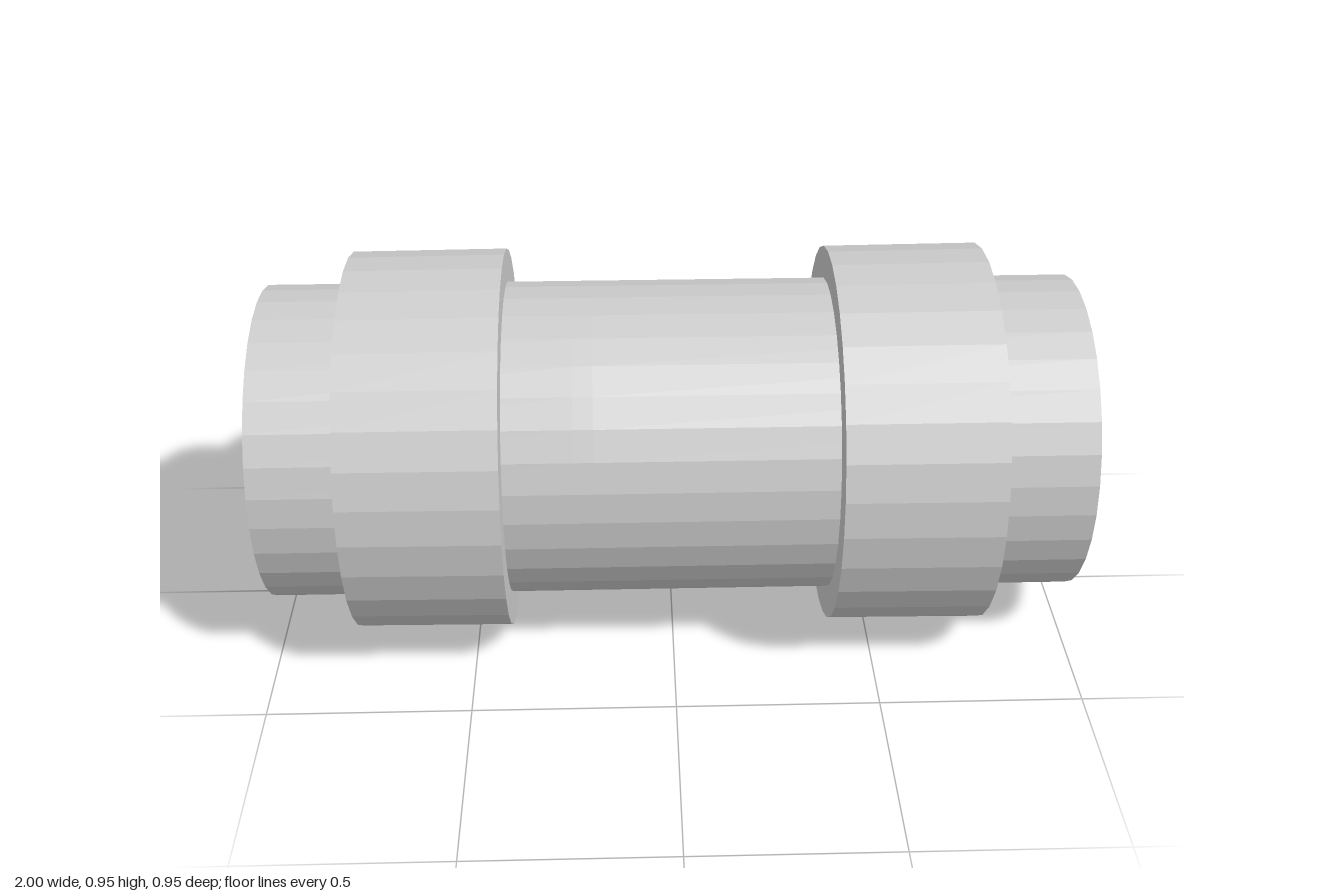
import * as THREE from 'three';

const SIDES = 32, STEP = (Math.PI * 2) / SIDES;
const INNER = 0.342, OUTER = 0.393, COLLAR = 0.476;
const SLOT = [-0.237, -0.19]; // x range of the small port
const SLOT_FACET = 6; // facet of the tube wall that the port pierces

const material = new THREE.MeshStandardMaterial({ color: 0xcccccc, flatShading: true });
const wallMaterial = new THREE.MeshStandardMaterial({
  color: 0xcccccc, flatShading: true, side: THREE.DoubleSide,
});

// Turn a profile of [radius, x] points around the x axis
function turned(name, profile, facets = SIDES, firstFacet = 0) {
  const points = profile.map(([r, x]) => new THREE.Vector2(r, x));
  const geometry = new THREE.LatheGeometry(points, facets, firstFacet * STEP, facets * STEP);
  geometry.rotateZ(-Math.PI / 2);
  const mesh = new THREE.Mesh(geometry, material);
  mesh.name = name;
  return mesh;
}

// Four walls lining the port between the outer and inner surface
function portWalls() {
  const positions = [], index = [];
  const corners = [[0, 0], [1, 0], [1, 1], [0, 1]];
  for (const r of [OUTER, INNER]) {
    for (const [i, j] of corners) {
      const phi = (SLOT_FACET + j) * STEP;
      positions.push(SLOT[i], -r * Math.sin(phi), r * Math.cos(phi));
    }
  }
  for (let i = 0; i < 4; i++) {
    const n = (i + 1) % 4;
    index.push(i, n, i + 4, n, n + 4, i + 4);
  }
  const geometry = new THREE.BufferGeometry();
  geometry.setAttribute('position', new THREE.Float32BufferAttribute(positions, 3));
  geometry.setIndex(index);
  geometry.computeVertexNormals();
  const mesh = new THREE.Mesh(geometry, wallMaterial);
  mesh.name = 'portWalls';
  return mesh;
}

export function createModel() {
  const model = new THREE.Group();
  model.name = 'collaredTube';
  const [x1, x2] = SLOT;

  // Hollow tube, with one facet left open for the port
  const tube = new THREE.Group();
  tube.name = 'tube';
  tube.add(
    turned('tubeRightPart', [[INNER, x1], [INNER, -1], [OUTER, -1], [OUTER, x1]]),
    turned('tubeLeftPart', [[OUTER, x2], [OUTER, 1], [INNER, 1], [INNER, x2]]),
    turned('portBandOuter', [[OUTER, x1], [OUTER, x2]], SIDES - 1, SLOT_FACET + 1),
    turned('portBandInner', [[INNER, x2], [INNER, x1]], SIDES - 1, SLOT_FACET + 1),
    portWalls(),
  );
  model.add(tube);

  // Two raised collars
  for (const [name, a, b] of [['rightCollar', -0.785, -0.405], ['leftCollar', 0.39, 0.77]]) {
    model.add(turned(name, [[OUTER, a], [COLLAR - 0.003, a], [COLLAR, b], [OUTER, b]]));
  }

  model.position.y = COLLAR;
  return model;
}
